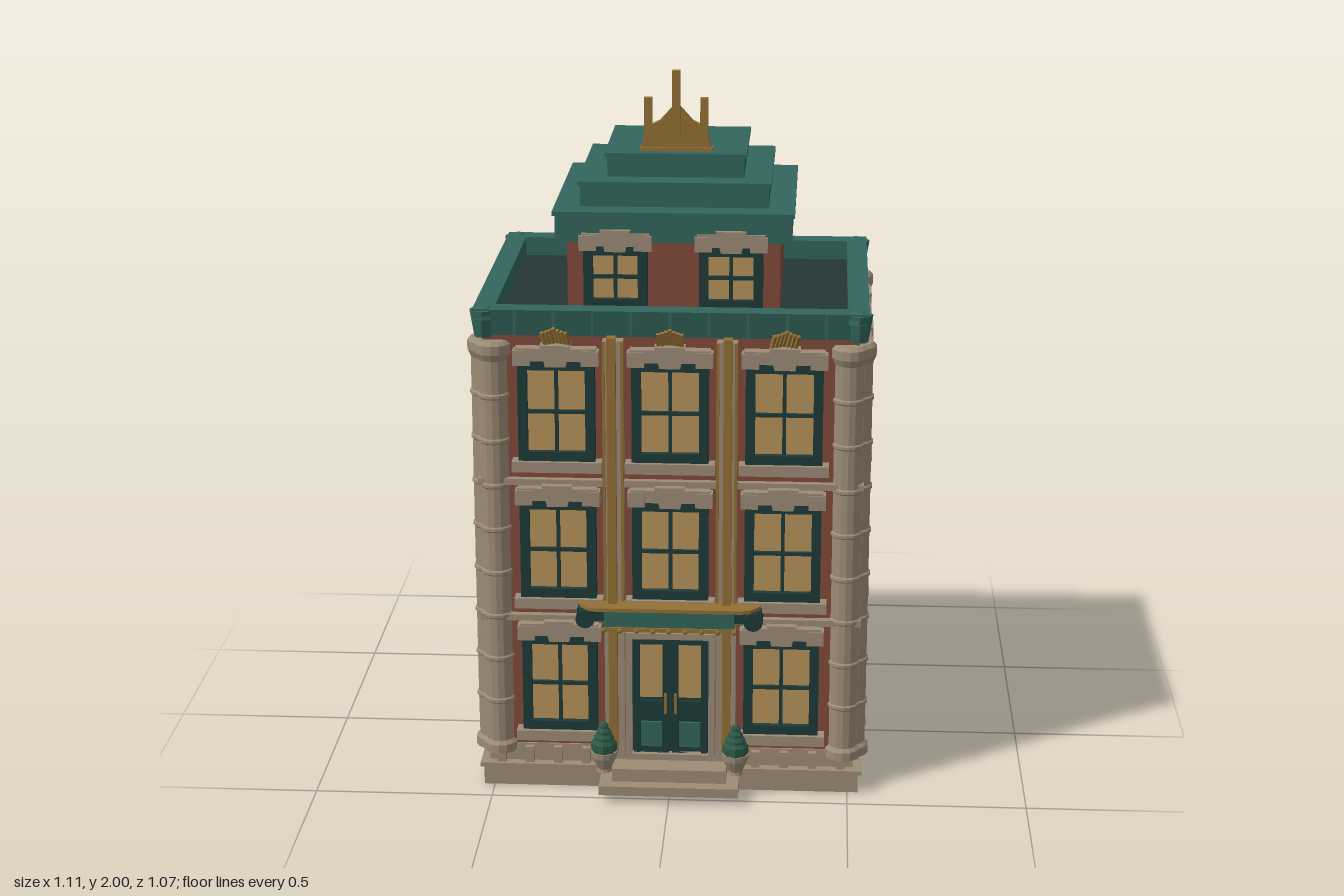
import * as THREE from 'three';

const mat = (color) => new THREE.MeshStandardMaterial({ color, flatShading: true });
const BRICK = mat(0x844a3a), STONE = mat(0x9c8b76), TEAL = mat(0x32665c), FRAME = mat(0x1e3b39),
  ROOF = mat(0x253634), GOLD = mat(0x927034), GLASS = mat(0xb8935a), IRON = mat(0x1b2829), LEAF = mat(0x2c5a48);
const FRONT = 0.4, BACK = -0.435, SIDE = 0.51, MID = (FRONT + BACK) / 2;

function add(parent, name, geo, material, x = 0, y = 0, z = 0) {
  const m = new THREE.Mesh(geo, material);
  m.name = name;
  m.position.set(x, y, z);
  parent.add(m);
  return m;
}
// Box given by its min and max on each axis
function box(parent, name, material, x0, x1, y0, y1, z0, z1) {
  return add(parent, name, new THREE.BoxGeometry(x1 - x0, y1 - y0, z1 - z0), material,
    (x0 + x1) / 2, (y0 + y1) / 2, (z0 + z1) / 2);
}
function group(parent, name, x = 0, y = 0, z = 0, ry = 0) {
  const g = new THREE.Group();
  g.name = name;
  g.position.set(x, y, z);
  g.rotation.y = ry;
  parent.add(g);
  return g;
}
const poly = (pts) => new THREE.Shape(pts.map(([x, y]) => new THREE.Vector2(x, y)));
const extrude = (shape, depth) => new THREE.ExtrudeGeometry(shape, { depth, bevelEnabled: false, curveSegments: 6 });
const rect = (w, y0, y1) => [[-w, y0], [w, y0], [w, y1], [-w, y1]];
function ring(w, h, t) {
  const s = poly(rect(w / 2, 0, h));
  s.holes.push(new THREE.Path(rect(w / 2 - t, t, h - t).reverse().map(([x, y]) => new THREE.Vector2(x, y))));
  return s;
}
// Straight bar between two points
function bar(parent, name, a, b, t, material) {
  const p = new THREE.Vector3(...a), q = new THREE.Vector3(...b);
  const m = add(parent, name, new THREE.BoxGeometry(t, t, p.distanceTo(q)), material);
  m.position.copy(p).lerp(q, 0.5);
  m.lookAt(q);
}

// Window with frame, crossed bars, sill and keystone lintel, facing local +z
function windowUnit(parent, x, y, z, ry, w = 0.21, h = 0.285, sill = true) {
  const g = group(parent, 'window', x, y, z, ry), e = w / 2;
  add(g, 'windowFrame', extrude(ring(w, h, 0.026), 0.03), FRAME);
  box(g, 'windowGlass', GLASS, -e + 0.01, e - 0.01, 0.01, h - 0.01, 0, 0.012);
  box(g, 'windowBarUpright', FRAME, -0.005, 0.005, 0.02, h - 0.02, 0.01, 0.022);
  box(g, 'windowBarCross', FRAME, -e + 0.02, e - 0.02, h * 0.47, h * 0.47 + 0.01, 0.01, 0.022);
  if (sill) box(g, 'windowSill', STONE, -e - 0.018, e + 0.018, -0.03, 0, 0, 0.042);
  box(g, 'lintel', STONE, -e - 0.005, e + 0.005, h, h + 0.036, 0, 0.034);
  for (const s of [-1, 1]) box(g, 'lintelEnd', STONE, s * (e - 0.012) - 0.024, s * (e - 0.012) + 0.024, h - 0.012, h + 0.03, 0, 0.038);
  add(g, 'keystone', extrude(poly([[-0.028, h - 0.014], [0.028, h - 0.014], [0.042, h + 0.046], [-0.042, h + 0.046]]), 0.04), STONE);
}

// Banded corner column
function column(parent, x, z) {
  const pts = [[0, 0.1], [0.05, 0.1], [0.05, 0.125], [0.04, 0.135]];
  for (let i = 1; i < 9; i++) {
    const y = 0.13 + i * 0.128;
    pts.push([0.041, y - 0.008], [0.045, y - 0.004], [0.045, y + 0.004], [0.041, y + 0.008]);
  }
  pts.push([0.041, 1.255], [0.05, 1.275], [0.05, 1.3], [0.04, 1.31], [0, 1.31]);
  add(parent, 'cornerColumn', new THREE.LatheGeometry(pts.map(([a, b]) => new THREE.Vector2(a, b)), 14), STONE, x, 0, z);
}

// Staggered raised bricks filling a strip of wall
function brickStrip(parent, x, z, ry, w) {
  const g = group(parent, 'brickStrip', x, 0, z, ry);
  for (let i = 0; i < 25; i++) {
    const y = 0.13 + i * 0.047, split = (i % 2 ? 0.2 : -0.2) * w;
    box(g, 'brick', BRICK, -w / 2, split - 0.003, y, y + 0.042, 0, 0.006);
    box(g, 'brick', BRICK, split + 0.003, w / 2, y, y + 0.042, 0, 0.006);
  }
}

function buildWalls(root) {
  box(root, 'baseSlab', STONE, -0.53, 0.53, 0, 0.055, -0.447, 0.425);
  box(root, 'baseRim', STONE, -0.54, 0.54, 0.055, 0.068, -0.458, 0.432);
  box(root, 'plinth', STONE, -0.515, 0.515, 0.068, 0.12, BACK - 0.005, FRONT + 0.005);
  box(root, 'brickWalls', BRICK, -SIDE, SIDE, 0.12, 1.33, BACK, FRONT);
  for (let i = 0; i < 13; i++) {
    const x = -0.48 + i * 0.08;
    if (Math.abs(x) > 0.2) box(root, 'plinthBlock', STONE, x - 0.012, x + 0.012, 0.068, 0.115, FRONT, FRONT + 0.022);
    box(root, 'plinthBlock', STONE, x - 0.012, x + 0.012, 0.068, 0.115, BACK - 0.02, BACK);
  }
  for (const s of [-1, 1]) {
    for (let i = 0; i < 10; i++) {
      const z = MID - 0.36 + i * 0.08;
      box(root, 'plinthBlock', STONE, s * 0.52 - 0.012, s * 0.52 + 0.012, 0.068, 0.115, z - 0.012, z + 0.012);
    }
    for (const [fx, fz, sz] of [[0.485, FRONT - 0.01, 0.36], [0.485, BACK + 0.015, -0.392]]) {
      column(root, s * fx, fz);
      column(root, s * 0.508, sz);
    }
    brickStrip(root, s * SIDE, -0.013, s * Math.PI / 2, 0.1);
    brickStrip(root, s * 0.155, BACK, Math.PI, 0.075);
  }
  // String courses between the floors
  for (const y of [0.5, 0.9]) box(root, 'stringCourse', STONE, -SIDE - 0.02, SIDE + 0.02, y, y + 0.018, BACK - 0.02, FRONT + 0.02);
  // Windows on every floor
  for (let f = 0; f < 3; f++) {
    const y = 0.175 + f * 0.4;
    for (const x of [-0.31, 0, 0.31]) {
      if (f || x) windowUnit(root, x, y, FRONT, 0);
      windowUnit(root, x, y, BACK, Math.PI);
    }
    for (const s of [-1, 1]) for (const z of [0.165, -0.19]) windowUnit(root, s * SIDE, y, z, s * Math.PI / 2, 0.225);
  }
}

function buildEntrance(root) {
  box(root, 'lowerStep', STONE, -0.195, 0.195, 0.025, 0.052, 0.4, 0.535);
  box(root, 'upperStep', STONE, -0.16, 0.16, 0.052, 0.09, 0.4, 0.5);
  const door = group(root, 'door', 0, 0.09, FRONT);
  add(door, 'doorSurround', extrude(ring(0.25, 0.385, 0.018), 0.035), STONE);
  box(door, 'doorBacking', FRAME, -0.11, 0.11, 0, 0.37, 0, 0.012);
  for (const s of [-1, 1]) {
    const leaf = group(door, 'doorLeaf', s * 0.054);
    add(leaf, 'leafFrame', extrude(ring(0.1, 0.365, 0.018), 0.022), FRAME);
    box(leaf, 'leafGlass', GLASS, -0.033, 0.033, 0.185, 0.345, 0, 0.016);
    box(leaf, 'leafPanel', TEAL, -0.03, 0.03, 0.035, 0.11, 0, 0.02);
    box(leaf, 'leafRail', FRAME, -0.045, 0.045, 0.125, 0.175, 0, 0.02);
    box(leaf, 'doorHandle', GOLD, -s * 0.04 - 0.004, -s * 0.04 + 0.004, 0.14, 0.2, 0.02, 0.03);
    // Pilasters with gilded strips beside the door
    box(root, 'pilaster', STONE, s * 0.155 - 0.028, s * 0.155 + 0.028, 0.09, 1.32, FRONT, 0.435);
    box(root, 'gildedStrip', GOLD, s * 0.158 - 0.012, s * 0.158 + 0.012, 0.12, 1.335, 0.43, 0.46);
    for (const d of [-0.025, 0.025]) box(root, 'gildedEdge', GOLD, s * 0.155 + d - 0.004, s * 0.155 + d + 0.004, 0.5, 1.32, 0.43, 0.442);
    // Potted topiary
    const pot = group(root, 'pottedPlant', s * 0.185, 0.068, 0.462);
    const profile = [[0, 0], [0.022, 0], [0.02, 0.01], [0.036, 0.045], [0.038, 0.062], [0, 0.062]];
    add(pot, 'pot', new THREE.LatheGeometry(profile.map(([a, b]) => new THREE.Vector2(a, b)), 12), STONE);
    for (let i = 0; i < 4; i++) add(pot, 'foliage', new THREE.SphereGeometry(0.038 - i * 0.008, 8, 5), LEAF, 0, 0.075 + i * 0.02, 0);
  }
  // Canopy with gold plates, rolled ends and beads
  const half = [[-0.255, 0], [0.255, 0], [0.25, 0.03], [0.225, 0.06], [0.2, 0.067], [-0.2, 0.067], [-0.225, 0.06], [-0.25, 0.03]];
  const top = add(root, 'canopyTop', extrude(poly(half.map(([x, z]) => [x, -z]).reverse()), 0.01), GOLD, 0, 0.562, 0.43);
  top.rotation.x = -Math.PI / 2;
  box(root, 'canopyBody', TEAL, -0.18, 0.18, 0.515, 0.562, FRONT, 0.49);
  box(root, 'canopyLowerTrim', GOLD, -0.18, 0.18, 0.503, 0.515, FRONT, 0.495);
  for (const s of [-1, 1]) {
    box(root, 'canopyArm', FRAME, s * 0.215 - 0.04, s * 0.215 + 0.04, 0.525, 0.562, FRONT, 0.475);
    add(root, 'canopyScroll', new THREE.CylinderGeometry(0.027, 0.027, 0.06, 12), FRAME, s * 0.232, 0.536, 0.46).rotation.x = Math.PI / 2;
  }
  for (let i = -4; i <= 4; i++) add(root, 'canopyBead', new THREE.SphereGeometry(0.008, 8, 6), GOLD, i * 0.045, 0.506, 0.492);
}

function buildRoof(root) {
  // Parapet: hollow rim, slightly flared outward
  const outer = poly([[-0.51, BACK], [0.51, BACK], [0.51, FRONT + 0.005], [-0.51, FRONT + 0.005]]);
  outer.holes.push(new THREE.Path([[-0.478, -0.392], [-0.478, 0.363], [0.478, 0.363], [0.478, -0.392]].map(([x, y]) => new THREE.Vector2(x, y))));
  const geo = extrude(outer, 0.075).rotateX(Math.PI / 2);
  const p = geo.attributes.position;
  for (let i = 0; i < p.count; i++) {
    const out = Math.abs(p.getX(i)) > 0.5;
    if (out && p.getY(i) > -0.01) p.setXYZ(i, p.getX(i) * 1.05, p.getY(i), p.getZ(i) + Math.sign(p.getZ(i)) * 0.017);
  }
  geo.computeVertexNormals();
  add(root, 'parapet', geo, TEAL, 0, 1.4, 0);
  box(root, 'roofDeck', ROOF, -0.49, 0.49, 1.32, 1.345, -0.405, 0.375);
  for (const s of [-1, 1]) for (const z of [-0.427, 0.398]) {
    add(root, 'parapetCorner', new THREE.CylinderGeometry(0.036, 0.024, 0.075, 8), TEAL, s * 0.509, 1.358, z);
    add(root, 'cornerCap', new THREE.SphereGeometry(0.035, 8, 4, 0, Math.PI * 2, 0, Math.PI / 2), TEAL, s * 0.505, 1.372, z);
  }
  for (let i = -4; i <= 4; i++) for (const z of [0.415, -0.443]) box(root, 'parapetRib', TEAL, i * 0.105 - 0.004, i * 0.105 + 0.004, 1.33, 1.398, z - 0.007, z + 0.007);
  // Fan ornaments under the front parapet
  for (const x of [-0.31, 0, 0.31]) {
    const fan = group(root, 'fanOrnament', x, 1.31, 0.425);
    for (let i = -3; i <= 3; i++) bar(fan, 'fanLeaf', [i * 0.006, 0, 0], [i * 0.015, 0.046 - Math.abs(i) * 0.006, 0.008], 0.01, GOLD);
  }
  // Penthouse with two windows and a stepped roof
  box(root, 'penthouse', BRICK, -0.292, 0.292, 1.34, 1.56, -0.302, 0.25);
  for (const s of [-1, 1]) windowUnit(root, s * 0.158, 1.37, 0.252, 0, 0.175, 0.175, false);
  for (const [x, y0, y1, z0, z1] of [[0.33, 1.555, 1.64, -0.342, 0.285], [0.265, 1.64, 1.71, -0.277, 0.222], [0.195, 1.71, 1.777, -0.22, 0.16]]) {
    box(root, 'roofTier', TEAL, -x + 0.007, x - 0.007, y0, y1 - 0.012, z0 + 0.007, z1 - 0.007);
    box(root, 'roofTierLip', TEAL, -x, x, y1 - 0.012, y1, z0, z1);
  }
  // Gilded crest
  add(root, 'crestPlate', extrude(poly([[-0.1, 1.775], [0.1, 1.775], [0.085, 1.83], [0.065, 1.85], [0.045, 1.86], [0, 1.91], [-0.045, 1.86], [-0.065, 1.85], [-0.085, 1.83]]), 0.025), GOLD, 0, 0, 0.098);
  box(root, 'crestFoot', GOLD, -0.1, 0.1, 1.775, 1.787, 0.093, 0.13);
  for (const [x, y] of [[-0.077, 1.925], [0, 2], [0.077, 1.925]]) box(root, 'crestSpike', GOLD, x - 0.011, x + 0.011, 1.82, y, 0.108, 0.13);
}

function buildFireEscape(root) {
  const g = group(root, 'fireEscape');
  for (const y of [0.5, 0.9]) {
    // Slatted landing with railing
    for (let i = 0; i < 6; i++) box(g, 'landingSlat', IRON, -0.33, 0.33, y, y + 0.01, -0.462 - i * 0.0145 + 0.005, -0.462 - i * 0.0145 - 0.006 + 0.016);
    for (const x of [-0.325, -0.11, 0.11, 0.325]) bar(g, 'landingBeam', [x, y - 0.003, BACK], [x, y - 0.003, -0.537], 0.01, IRON);
    for (let i = 0; i <= 10; i++) bar(g, 'railPost', [-0.325 + i * 0.065, y, -0.53], [-0.325 + i * 0.065, y + 0.12, -0.53], 0.006, IRON);
    bar(g, 'handrail', [-0.33, y + 0.12, -0.53], [0.33, y + 0.12, -0.53], 0.009, IRON);
  }
  // Sloping ladders
  for (const [a, b] of [[[0.11, 0.5], [-0.13, 0.12]], [[-0.11, 0.9], [0.14, 0.505]]]) {
    for (const z of [-0.47, -0.49]) bar(g, 'ladderRail', [a[0] + 0.022, a[1], z], [b[0] + 0.022, b[1], z], 0.008, IRON);
    for (const z of [-0.47, -0.49]) bar(g, 'ladderRail', [a[0] - 0.022, a[1], z], [b[0] - 0.022, b[1], z], 0.008, IRON);
    for (let i = 1; i < 10; i++) {
      const t = i / 10, x = a[0] + (b[0] - a[0]) * t, y = a[1] + (b[1] - a[1]) * t;
      box(g, 'ladderRung', IRON, x - 0.022, x + 0.022, y - 0.004, y + 0.004, -0.492, -0.468);
    }
  }
}

export function createModel() {
  const root = new THREE.Group();
  root.name = 'townBuilding';
  buildWalls(root);
  buildEntrance(root);
  buildRoof(root);
  buildFireEscape(root);
  return root;
}
